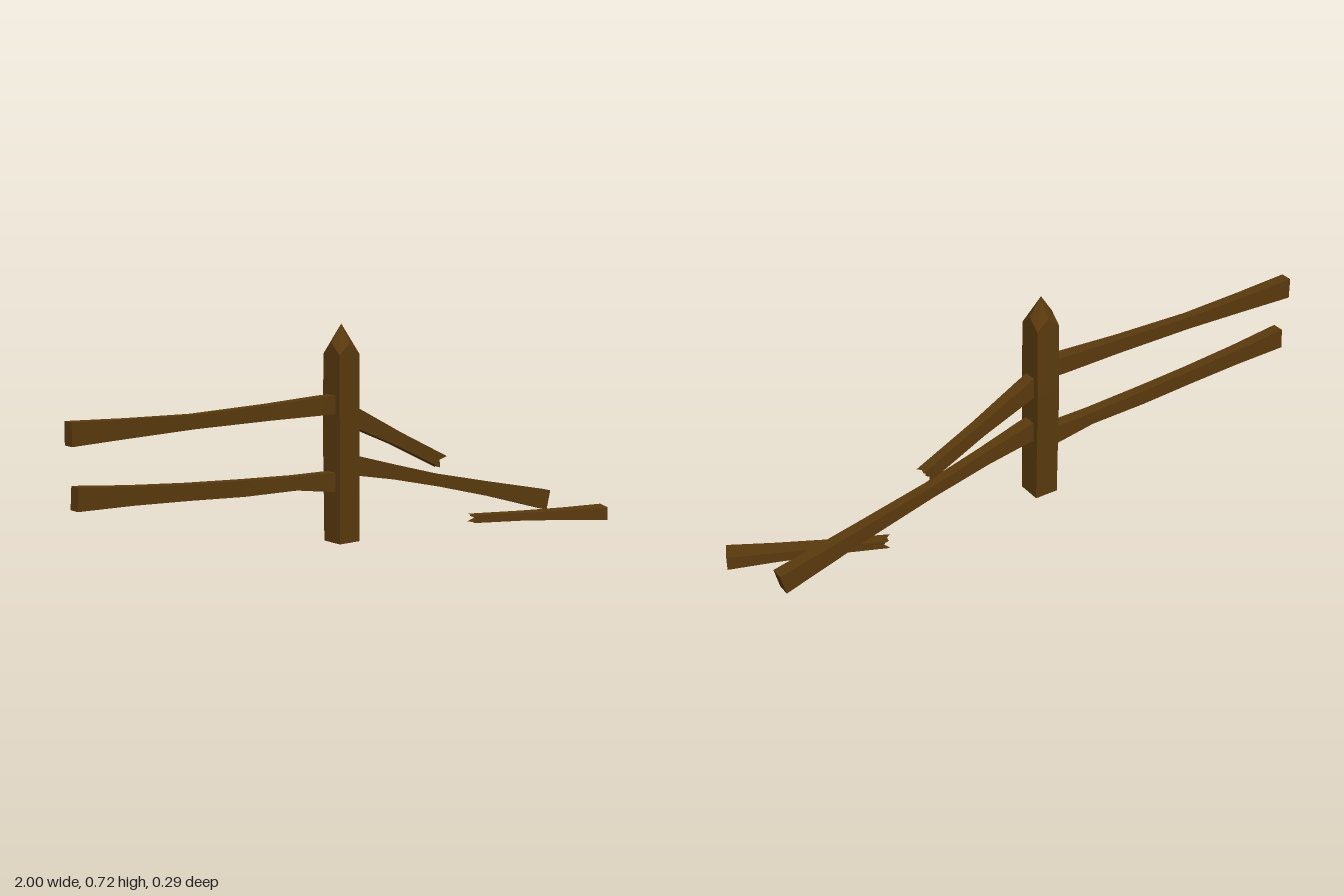
import * as THREE from 'three';

const wood = new THREE.MeshStandardMaterial({ color: 0x5a3a0e, flatShading: true, roughness: 1 });

// Eight points round a square: edge middles and corners
const SQUARE = [[1, 0], [1, 1], [0, 1], [-1, 1], [-1, 0], [-1, -1], [0, -1], [1, -1]];
// How far each ring point of a snapped end sticks out, forming a forked break
const SPLINTER = [-0.012, 0.014, 0.004, 0.008, -0.016, 0.012, -0.006, 0.002];

// Skin a list of eight-point rings, closing each end to a centre point
function loft(rings, startCentre, endCentre) {
  const pos = [];
  const tri = (...points) => points.forEach((p) => pos.push(p.x, p.y, p.z));
  const n = SQUARE.length;
  for (let i = 0; i < n; i++) {
    const j = (i + 1) % n;
    for (let k = 0; k < rings.length - 1; k++) {
      const a = rings[k], b = rings[k + 1];
      tri(a[i], b[i], b[j]);
      tri(a[i], b[j], a[j]);
    }
    const last = rings[rings.length - 1];
    tri(startCentre, rings[0][i], rings[0][j]);
    tri(endCentre, last[j], last[i]);
  }
  const geo = new THREE.BufferGeometry();
  geo.setAttribute('position', new THREE.Float32BufferAttribute(pos, 3));
  geo.computeVertexNormals();
  return geo;
}

// Rail running along +x; each station is [x, centre y, height, depth]
function rail(name, stations, broken) {
  const centres = stations.map(([x, y]) => new THREE.Vector3(x, y, 0));
  const last = stations.length - 1;
  const rings = stations.map(([, , h, d], k) => {
    const t = centres[Math.min(k + 1, last)].clone().sub(centres[Math.max(k - 1, 0)]).normalize();
    const up = new THREE.Vector3(-t.y, t.x, 0);
    const sign = broken === 'end' && k === last ? 1 : broken === 'start' && k === 0 ? -1 : 0;
    return SQUARE.map(([sz, sy], i) => centres[k].clone()
      .addScaledVector(up, sy * h / 2)
      .add(new THREE.Vector3(0, 0, sz * d / 2))
      .addScaledVector(t, sign * SPLINTER[i]));
  });
  const startCentre = centres[0].clone();
  const endCentre = centres[last].clone();
  if (broken === 'start') startCentre.x += 0.02;
  if (broken === 'end') endCentre.add(new THREE.Vector3(-0.02, 0.01, 0));
  const mesh = new THREE.Mesh(loft(rings, startCentre, endCentre), wood);
  mesh.name = name;
  mesh.position.z = -0.105;
  return mesh;
}

// Square post with a four-sided point turned 45 degrees to its faces
function post() {
  const ring = (y, back, drop = 0) => SQUARE.map(([sx, sz]) => new THREE.Vector3(
    sx * 0.04, y - (sx && sz ? drop : 0), sz < 0 ? -back : sz * 0.041));
  const geo = loft(
    [ring(0.02, 0.039), ring(0.4, 0.045), ring(0.66, 0.04, 0.035)],
    new THREE.Vector3(0, 0.02, 0), new THREE.Vector3(0, 0.72, 0));
  const mesh = new THREE.Mesh(geo, wood);
  mesh.name = 'post';
  mesh.position.set(-0.01, 0, -0.103);
  return mesh;
}

export function createModel() {
  const group = new THREE.Group();
  group.name = 'brokenFence';

  // Whole rails on one side
  const upperWhole = rail('upperWholeRail', [
    [-1, 0.463, 0.07, 0.04], [-0.8, 0.461, 0.055, 0.036], [-0.58, 0.46, 0.043, 0.032],
    [-0.3, 0.463, 0.049, 0.034], [-0.1, 0.466, 0.058, 0.042], [-0.01, 0.467, 0.06, 0.042]]);
  const lowerWhole = rail('lowerWholeRail', [
    [-0.985, 0.275, 0.07, 0.04], [-0.8, 0.263, 0.056, 0.036], [-0.6, 0.25, 0.05, 0.034],
    [-0.4, 0.238, 0.05, 0.034], [-0.2, 0.231, 0.044, 0.036], [-0.05, 0.218, 0.063, 0.042],
    [-0.01, 0.215, 0.063, 0.042]]);

  // Snapped and sagging rails on the other side
  const upperBroken = rail('upperBrokenRail', [
    [-0.01, 0.441, 0.062, 0.042], [0.05, 0.411, 0.06, 0.042], [0.22, 0.33, 0.046, 0.034],
    [0.41, 0.237, 0.045, 0.034]], 'end');
  const lowerSagging = rail('lowerSaggingRail', [
    [-0.01, 0.27, 0.064, 0.042], [0.05, 0.259, 0.062, 0.042], [0.2, 0.223, 0.049, 0.034],
    [0.4, 0.172, 0.041, 0.032], [0.65, 0.111, 0.05, 0.036], [0.917, 0.043, 0.07, 0.042]]);

  // Snapped-off piece lying on the ground
  const fallen = rail('fallenPiece', [
    [0, 0.025, 0.027, 0.034], [0.18, 0.025, 0.027, 0.042], [0.34, 0.0235, 0.034, 0.054],
    [0.483, 0.0225, 0.045, 0.066]], 'start');
  fallen.position.set(0.546, 0, -0.083);
  fallen.rotation.y = -Math.atan2(0.2, 0.44);

  group.add(post(), upperWhole, lowerWhole, upperBroken, lowerSagging, fallen);
  return group;
}
